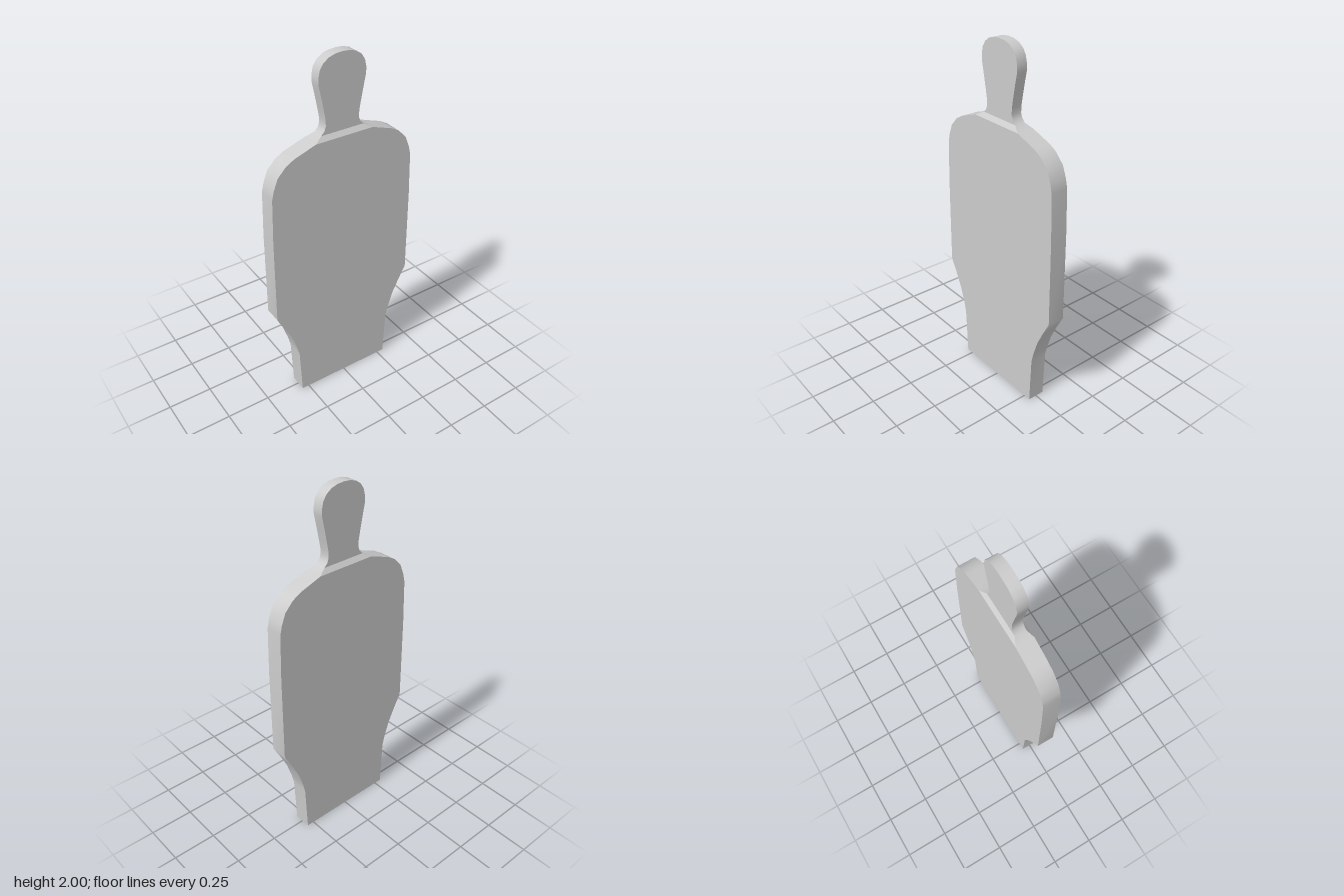
import * as THREE from 'three';

// Half outline from foot to crown: [half width, height]
const torso = [[0.292, 0], [0.304, 0.28], [0.318, 0.34], [0.347, 0.43], [0.387, 0.515], [0.432, 0.6],
  [0.428, 1.1], [0.42, 1.35], [0.408, 1.4], [0.384, 1.46], [0.336, 1.51], [0.288, 1.537], [0.167, 1.578]];
const collar = [[0.167, 1.578], [0.124, 1.602]];
const head = [[0.124, 1.602], [0.105, 1.622], [0.097, 1.645], [0.098, 1.68], [0.107, 1.73], [0.123, 1.81],
  [0.134, 1.86], [0.135, 1.895], [0.126, 1.935], [0.106, 1.965], [0.076, 1.986], [0.04, 1.997], [0, 2]];

const BODY_DEPTH = 0.05, HEAD_DEPTH = 0.03;
const depthAt = (y) => (y < 1.59 ? BODY_DEPTH : HEAD_DEPTH);

function makeMesh(name, positions, index, flat) {
  let g = new THREE.BufferGeometry();
  g.setAttribute('position', new THREE.Float32BufferAttribute(positions, 3));
  g.setIndex(index);
  if (flat) g = g.toNonIndexed();
  g.computeVertexNormals();
  const mesh = new THREE.Mesh(g, new THREE.MeshStandardMaterial({ color: 0xcccccc }));
  mesh.name = name;
  return mesh;
}

// Front and back faces between successive rows of the outline
function makeFaces(name, rows) {
  const positions = [], index = [];
  for (const s of [1, -1]) {
    const start = positions.length / 3;
    // s mirrors both x and z, so the winding stays outward
    for (const [x, y] of rows) {
      const z = s * depthAt(y);
      positions.push(-s * x, y, z, s * x, y, z);
    }
    for (let i = 0; i < rows.length - 1; i++) {
      const a = start + i * 2;
      index.push(a, a + 1, a + 3);
      if (rows[i + 1][0] > 0) index.push(a, a + 3, a + 2);
    }
  }
  return makeMesh(name, positions, index, true);
}

// Smooth band that runs up the left edge, over the crown and down the right
function makeRim() {
  const half = [...torso, collar[1], ...head.slice(1)];
  const path = [...half, ...half.slice(0, -1).reverse().map(([x, y]) => [-x, y])];
  const positions = [], index = [];
  path.forEach(([x, y], i) => {
    const d = depthAt(y);
    positions.push(x, y, d, x, y, -d);
    if (i < path.length - 1) {
      const a = i * 2;
      index.push(a, a + 1, a + 3, a, a + 3, a + 2);
    }
  });
  return makeMesh('rim', positions, index, false);
}

// Flat underside
function makeBase() {
  const w = torso[0][0], d = BODY_DEPTH;
  return makeMesh('base', [-w, 0, -d, w, 0, -d, w, 0, d, -w, 0, d], [0, 1, 2, 0, 2, 3], true);
}

export function createModel() {
  const model = new THREE.Group();
  model.name = 'silhouetteTarget';
  model.add(
    makeFaces('torsoFaces', torso),
    makeFaces('collarBevels', collar),
    makeFaces('headFaces', head),
    makeRim(),
    makeBase()
  );
  return model;
}
